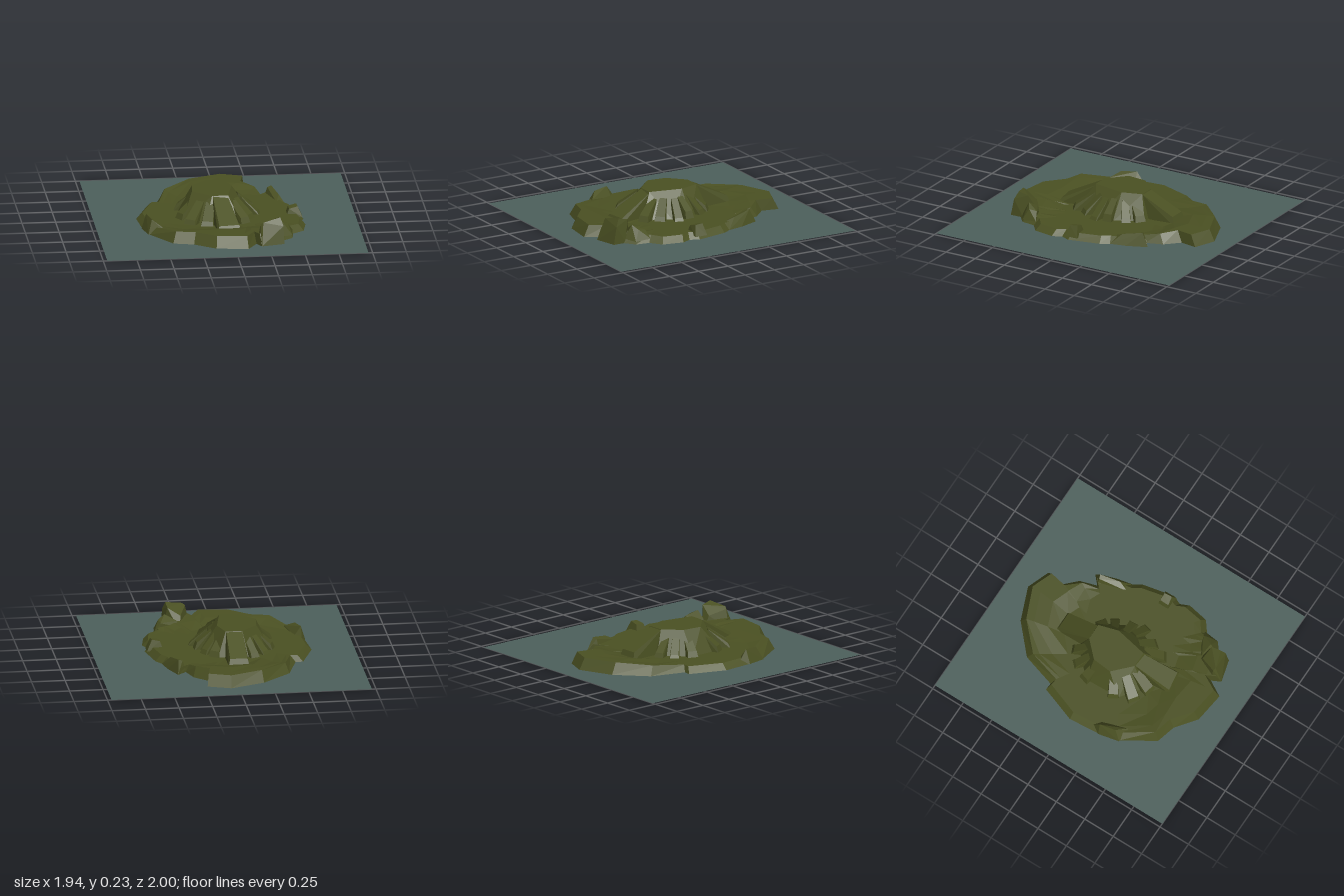
import * as THREE from 'three';
import { ConvexGeometry } from 'three/addons/geometries/ConvexGeometry.js';

const earth = new THREE.MeshStandardMaterial({ color: 0x4a5022, flatShading: true });
const water = new THREE.MeshStandardMaterial({ color: 0x4c5f5b, side: THREE.DoubleSide });

// Shoreline as x, z pairs, from the back round by +x
const shore = [
  [0.055, -0.845], [0.225, -0.78], [0.2, -0.65], [0.3, -0.55], [0.34, -0.42], [0.405, -0.48],
  [0.465, -0.325], [0.49, -0.205], [0.53, -0.14], [0.58, 0.1], [0.55, 0.17], [0.58, 0.24],
  [0.55, 0.4], [0.465, 0.465], [0.45, 0.57], [0.375, 0.63], [0.375, 0.715], [0.205, 0.76],
  [0.17, 0.69], [0.1, 0.81], [-0.135, 0.78], [-0.29, 0.66], [-0.44, 0.62], [-0.595, 0.375],
  [-0.63, 0.22], [-0.65, -0.02], [-0.55, -0.295], [-0.495, -0.29], [-0.415, -0.55], [-0.2, -0.745],
];
const CX = -0.03;

// Ground height: low in the middle, raised at the front and back lobes
const steps = [[-1, 0.087], [-0.56, 0.085], [-0.43, 0.047], [0.42, 0.047], [0.56, 0.08], [1, 0.095]];
function ground(z) {
  const i = steps.findIndex((s) => s[0] >= z);
  const [z0, y0] = steps[i - 1], [z1, y1] = steps[i];
  return THREE.MathUtils.mapLinear(z, z0, z1, y0, y1);
}

// Rings of the island: the shore, the rim, then the ground towards the centre
function islandGeometry() {
  const inset = ([x, z], d) => {
    const k = 1 - d / Math.hypot(x - CX, z);
    return [CX + (x - CX) * k, z * k];
  };
  const rings = [shore.map(([x, z]) => [x, 0, z])];
  rings.push(shore.map((p) => {
    const [x, z] = inset(p, 0.045);
    return [x, ground(z), z];
  }));
  for (const k of [0.86, 0.72, 0.55, 0.3, 0]) {
    rings.push(shore.map((p) => {
      const x = CX + (p[0] - CX) * k, z = p[1] * k;
      return [x, ground(z), z];
    }));
  }
  const pos = [];
  for (let r = 0; r + 1 < rings.length; r++) {
    for (let i = 0; i < shore.length; i++) {
      const j = (i + 1) % shore.length;
      const [a, b, c, d] = [rings[r][i], rings[r][j], rings[r + 1][i], rings[r + 1][j]];
      pos.push(...a, ...c, ...b);
      if (r + 2 < rings.length) pos.push(...b, ...c, ...d);
    }
  }
  const g = new THREE.BufferGeometry();
  g.setAttribute('position', new THREE.Float32BufferAttribute(pos, 3));
  g.computeVertexNormals();
  return g;
}

function rock(name, points) {
  const mesh = new THREE.Mesh(new ConvexGeometry(points.map((p) => new THREE.Vector3(...p))), earth);
  mesh.name = name;
  return mesh;
}

// Sloping rib from the hill side (a) down to its foot (b), with widths at both ends
function rib(name, a, b, wa, wb) {
  const len = Math.hypot(b[0] - a[0], b[2] - a[2]);
  const nx = -(b[2] - a[2]) / len, nz = (b[0] - a[0]) / len;
  const pts = [];
  for (const [p, w, out] of [[a, wa, 0], [b, wb, 0.025]]) {
    for (const s of [-0.5, 0.5]) {
      pts.push([p[0] + nx * w * s, p[1], p[2] + nz * w * s]);
      pts.push([p[0] + nx * w * s * 1.25 + nz * out, 0.03, p[2] + nz * w * s * 1.25 - nx * out]);
    }
  }
  return rock(name, pts);
}

export function createModel() {
  const model = new THREE.Group();
  model.name = 'island';

  const sea = new THREE.Mesh(new THREE.PlaneGeometry(1.94, 2).rotateX(-Math.PI / 2), water);
  sea.name = 'water';
  const land = new THREE.Mesh(islandGeometry(), earth);
  land.name = 'land';
  model.add(sea, land);

  // Central hill: flat top over a wider foot
  const top = [[-0.11, -0.2], [0.015, -0.2], [0.06, -0.05], [0.01, 0.2], [-0.11, 0.2], [-0.245, 0.07], [-0.23, -0.08]];
  const foot = [[-0.15, -0.27], [0.08, -0.26], [0.19, -0.05], [0.19, 0.1], [0.1, 0.31], [-0.17, 0.32], [-0.33, 0.2], [-0.34, -0.08]];
  model.add(rock('hill', [
    ...top.map(([x, z]) => [x, 0.228, z]),
    ...foot.map(([x, z]) => [x, 0.04, z]),
  ]));

  // Broad ramps before and behind the hill
  model.add(rib('frontRamp', [-0.05, 0.226, 0.19], [-0.01, 0.08, 0.475], 0.11, 0.15));
  model.add(rib('backRamp', [-0.05, 0.228, -0.19], [-0.05, 0.1, -0.46], 0.12, 0.13));

  // Ribs round the foot of the hill: x, z of the foot, its height and width
  const ribs = [
    [0.1, -0.23, 0.09, 0.07], [0.165, -0.15, 0.08, 0.06], [0.21, -0.02, 0.1, 0.06], [0.24, 0.08, 0.07, 0.06],
    [0.17, 0.2, 0.08, 0.07], [0.12, 0.31, 0.09, 0.07], [-0.16, 0.36, 0.08, 0.08], [-0.28, 0.3, 0.08, 0.08],
    [-0.34, 0.16, 0.09, 0.07], [-0.34, -0.09, 0.09, 0.07], [-0.28, -0.21, 0.07, 0.06], [-0.19, -0.28, 0.08, 0.06],
  ];
  for (const [x, z, y, w] of ribs) {
    const hx = -0.07 + (x + 0.07) * 0.6, hz = z * 0.6;
    model.add(rib('hillRib', [hx, 0.185, hz], [x, y, z], w * 0.8, w));
  }

  // Tall crag at the front left shore, with a lower jagged slab beside it
  model.add(rock('shoreCrag', [
    [0.17, 0, 0.69], [0.205, 0, 0.76], [0.375, 0, 0.715], [0.375, 0, 0.61], [0.26, 0, 0.52],
    [0.2, 0.15, 0.69], [0.22, 0.165, 0.7], [0.35, 0.19, 0.66], [0.37, 0.13, 0.69],
    [0.345, 0.17, 0.585], [0.25, 0.11, 0.565],
  ]));
  model.add(rock('cragSlab', [
    [0.25, 0.03, 0.52], [0.45, 0.02, 0.57], [0.46, 0.03, 0.45], [0.36, 0.03, 0.62],
    [0.37, 0.13, 0.56], [0.42, 0.1, 0.53], [0.41, 0.09, 0.47], [0.28, 0.08, 0.54],
  ]));

  // Small boulder on the left shore
  model.add(rock('shoreBoulder', [
    [0.45, 0.03, 0.04], [0.45, 0.03, 0.13], [0.57, 0.02, 0.03], [0.57, 0.02, 0.13],
    [0.47, 0.09, 0.05], [0.47, 0.085, 0.12], [0.53, 0.105, 0.05], [0.535, 0.1, 0.11],
  ]));

  // Leaning bank along the right shore
  model.add(rock('shoreBank', [
    [-0.635, 0, 0.22], [-0.6, 0, 0.38], [-0.6, 0, 0.13], [-0.49, 0.04, 0.41], [-0.55, 0.04, 0.2],
    [-0.6, 0.11, 0.21], [-0.57, 0.1, 0.33], [-0.5, 0.06, 0.39],
  ]));

  // Raised lip on the back left shore
  model.add(rock('backLip', [
    [0.34, 0.02, -0.42], [0.405, 0, -0.48], [0.465, 0, -0.325], [0.49, 0, -0.205], [0.41, 0.04, -0.2],
    [0.365, 0.09, -0.42], [0.395, 0.1, -0.43], [0.435, 0.075, -0.28],
  ]));
  return model;
}
